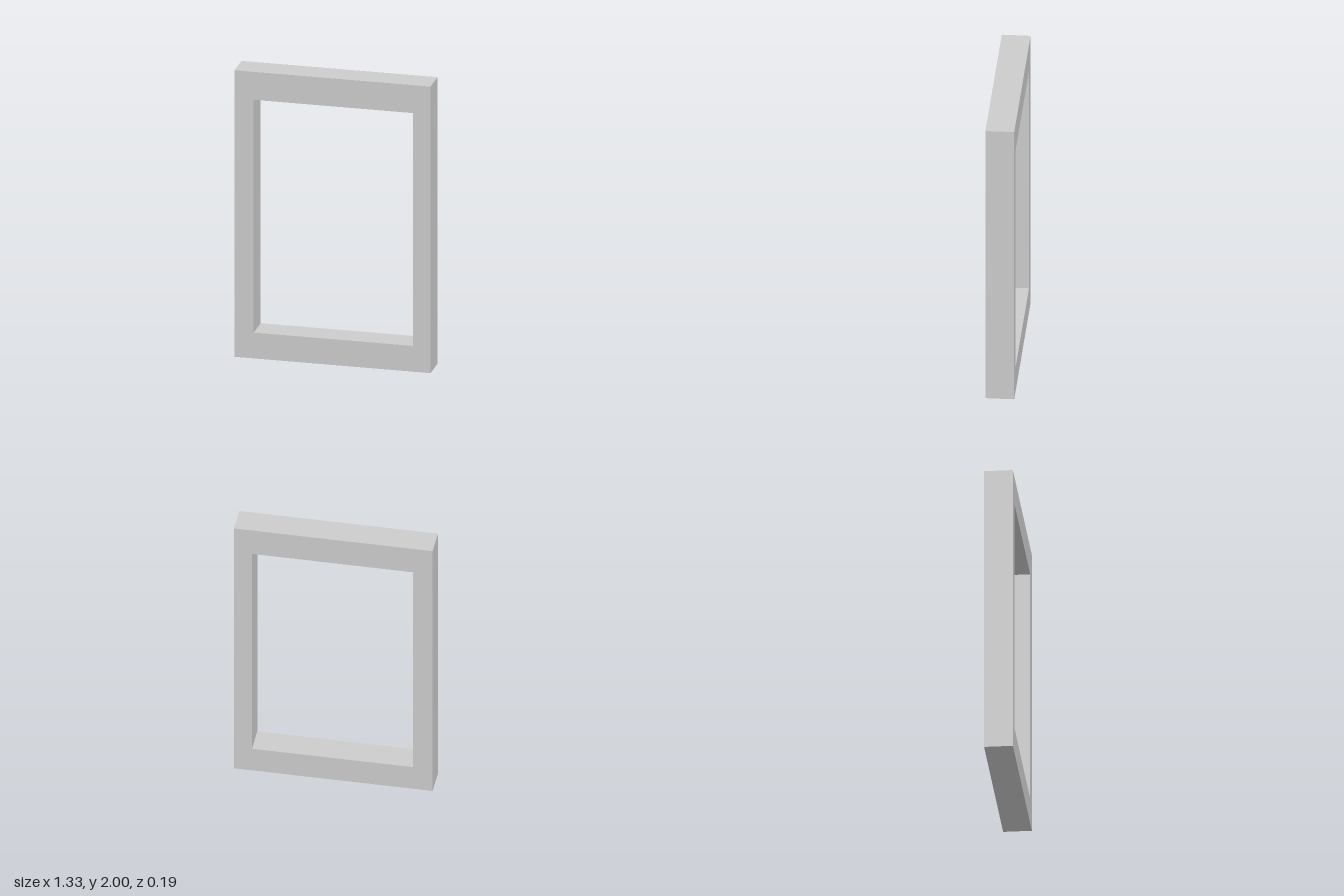
import * as THREE from 'three';

// Counter-clockwise rectangle from its left, bottom, right and top edges
function rectangle(path, left, bottom, right, top) {
  path.moveTo(left, bottom);
  path.lineTo(right, bottom);
  path.lineTo(right, top);
  path.lineTo(left, top);
  path.closePath();
  return path;
}

export function createModel() {
  const group = new THREE.Group();
  group.name = 'rectangularFrame';

  const depth = 0.19;

  // Outer outline with a slightly off-centre opening
  const outline = rectangle(new THREE.Shape(), -0.664, 0, 0.664, 2);
  outline.holes.push(rectangle(new THREE.Path(), -0.534, 0.18, 0.544, 1.805));

  const geometry = new THREE.ExtrudeGeometry(outline, { depth, bevelEnabled: false });
  geometry.translate(0, 0, -depth / 2);

  const frame = new THREE.Mesh(
    geometry,
    new THREE.MeshStandardMaterial({ color: 0xcccccc, flatShading: true })
  );
  frame.name = 'frame';
  group.add(frame);
  return group;
}
